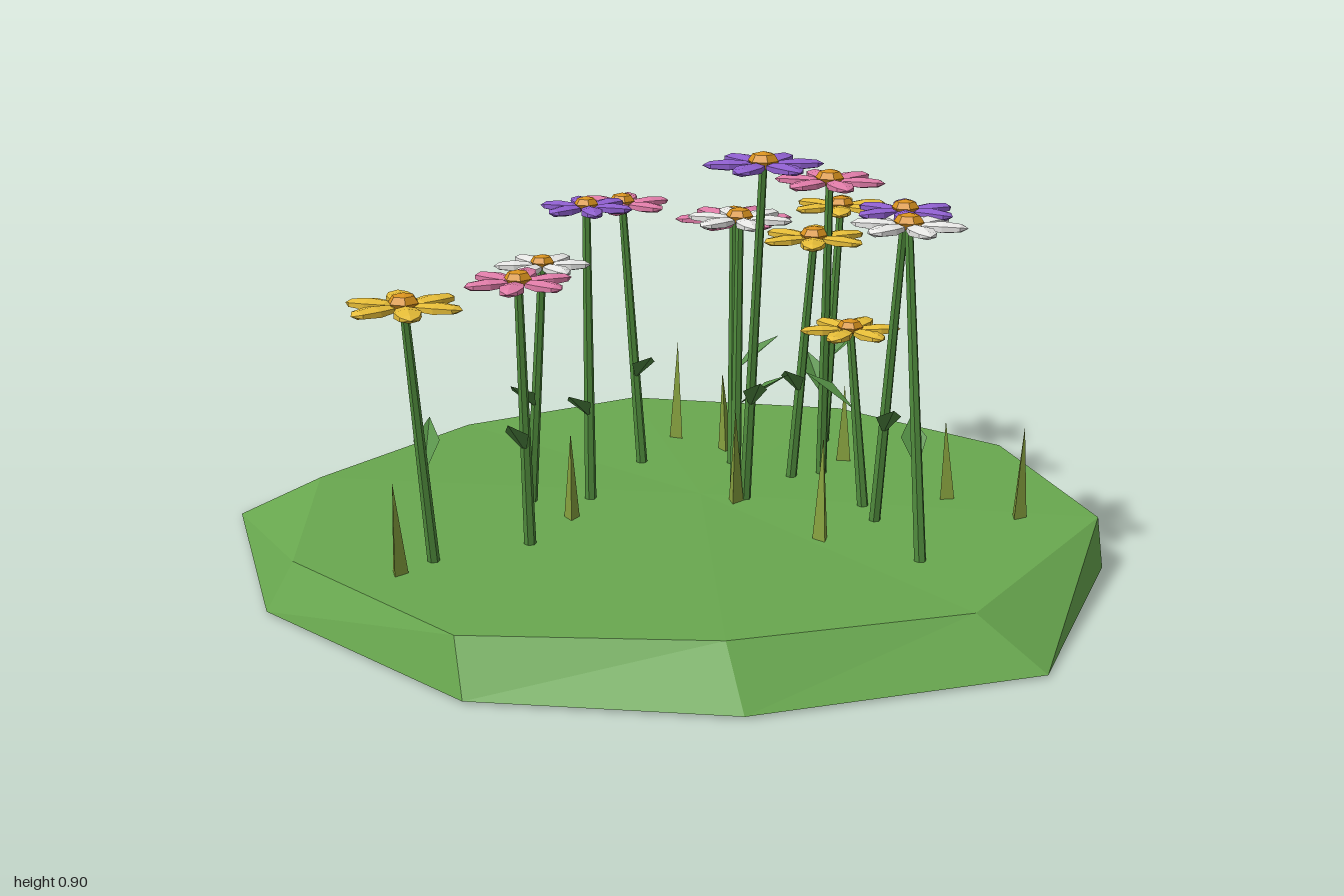
import * as THREE from 'three';
import { mergeGeometries } from 'three/addons/utils/BufferGeometryUtils.js';

const mat = (name, color, side = THREE.FrontSide) =>
  new THREE.MeshStandardMaterial({ name, color, side, flatShading: true });

const M = {
  ground: mat('meadow green', 0x69a84f),
  stem: mat('stem green', 0x4f8a3c),
  leaf: mat('leaf green', 0x548f45, THREE.DoubleSide),
  grass: mat('grass olive', 0x86a03e),
  centre: mat('centre orange', 0xd9921e),
  yellow: mat('petal yellow', 0xe6bd38),
  pink: mat('petal pink', 0xe07ca8),
  white: mat('petal white', 0xeeeeec),
  purple: mat('petal purple', 0x8f5fcf),
};

const TOP = 0.115;

// Ground outline corners: [bottom x, bottom z, top x, top z, top y]
const OUTLINE = [
  [0, -1, -0.02, -0.82, 0.1], [0.47, -0.83, 0.42, -0.69, 0.11],
  [0.94, -0.36, 0.72, -0.24, 0.115], [0.87, 0.27, 0.78, 0.23, 0.11],
  [0.51, 0.73, 0.5, 0.72, 0.12], [-0.04, 1, -0.09, 0.86, 0.105],
  [-0.59, 0.73, -0.55, 0.64, 0.115], [-0.92, 0.32, -0.89, 0.26, 0.11],
  [-0.94, -0.31, -0.89, -0.28, 0.11], [-0.65, -0.87, -0.54, -0.7, 0.11],
];

// Flowers: [petal colour, head x, y, z, head radius, base x, base z, leaf dx, leaf dz]
const FLOWERS = [
  ['yellow', -0.74, 0.66, -0.07, 0.125, -0.68, -0.08, 0.1, -0.11],
  ['pink', -0.5, 0.68, -0.01, 0.115, -0.475, -0.02, -0.07, 0.03],
  ['white', -0.28, 0.65, -0.2, 0.105, -0.3, -0.23, -0.11, 0.05],
  ['purple', -0.17, 0.765, -0.18, 0.105, -0.195, -0.15, -0.11, 0.06],
  ['pink', 0.05, 0.725, -0.31, 0.115, 0.07, -0.27, -0.05, 0.11],
  ['pink', 0.24, 0.69, -0.14, 0.135, 0.21, -0.11, 0.1, 0.05],
  ['white', 0.12, 0.725, 0, 0.12, 0.1, 0.01, 0.06, 0.1],
  ['yellow', 0.56, 0.68, -0.1, 0.12, 0.49, -0.08, 0.12, 0.01],
  ['purple', 0.04, 0.875, 0.15, 0.13, 0.05, 0.09, -0.05, 0.08],
  ['pink', 0.28, 0.805, 0.12, 0.125, 0.31, 0.08, 0.05, -0.1],
  ['yellow', 0.265, 0.675, 0.09, 0.125, 0.24, 0.05, -0.1, 0.05],
  ['yellow', 0.19, 0.51, 0.27, 0.11, 0.2, 0.31, -0.06, -0.1],
  ['white', 0.07, 0.795, 0.53, 0.12, 0.04, 0.61, 0.07, -0.08],
  ['purple', 0.14, 0.805, 0.46, 0.11, 0.15, 0.385, -0.06, 0.08],
];

// Grass blades: [x, z, height]
const BLADES = [
  [-0.78, -0.07, 0.2], [-0.31, -0.08, 0.2], [-0.01, 0.38, 0.23], [0.26, -0.35, 0.25],
  [0.42, 0.05, 0.19], [0.37, 0.4, 0.19], [0.38, 0.6, 0.22], [0.02, 0.09, 0.22], [0.27, -0.2, 0.2],
];

function bufferMesh(name, points, material) {
  const g = new THREE.BufferGeometry();
  g.setAttribute('position', new THREE.Float32BufferAttribute(points.flat(), 3));
  g.computeVertexNormals();
  const mesh = new THREE.Mesh(g, material);
  mesh.name = name;
  return mesh;
}

// Faceted slab with sloping rim
function makeGround() {
  const p = [];
  OUTLINE.forEach((a, i) => {
    const b = OUTLINE[(i + 1) % OUTLINE.length];
    const b0 = [a[0], 0.005, a[1]], b1 = [b[0], 0.005, b[1]];
    const t0 = [a[2], a[4], a[3]], t1 = [b[2], b[4], b[3]];
    p.push(b1, b0, t0, b1, t0, t1);
    p.push([0, TOP, 0], t1, t0, [0, 0, 0], b0, b1);
  });
  return bufferMesh('ground', p, M.ground);
}

// Six flattened, elongated petals around the centre
function petalGeometry(r, turn) {
  const petals = [];
  for (let i = 0; i < 6; i++) {
    const g = new THREE.SphereGeometry(1, 6, 4);
    g.rotateZ(Math.PI / 2);
    g.scale(r * 0.42, 0.012, r * 0.25);
    g.translate(r * 0.58, 0, 0);
    g.rotateY(turn + i * Math.PI / 3);
    petals.push(g);
  }
  return mergeGeometries(petals);
}

// Folded diamond leaf growing from a point on the stem
function makeLeaf(start, dx, dz) {
  const out = new THREE.Vector3(dx, 0.08, dz);
  const side = new THREE.Vector3(-dz, 0, dx).normalize().multiplyScalar(0.027);
  const mid = start.clone().addScaledVector(out, 0.5);
  const tip = start.clone().add(out).toArray();
  const l = mid.clone().add(side), r = mid.clone().sub(side);
  l.y += 0.012;
  r.y += 0.012;
  const s = start.toArray();
  return bufferMesh('leaf', [s, l.toArray(), tip, s, tip, r.toArray()], M.leaf);
}

function makeFlower([color, x, y, z, r, bx, bz, dx, dz], i) {
  const flower = new THREE.Group();
  flower.name = color + 'Flower';
  const base = new THREE.Vector3(bx, TOP - 0.02, bz);
  const head = new THREE.Vector3(x, y, z);
  const dir = head.clone().sub(base);

  const stem = new THREE.Mesh(new THREE.CylinderGeometry(0.009, 0.013, dir.length(), 6), M.stem);
  stem.name = 'stem';
  stem.position.copy(base).addScaledVector(dir, 0.5);
  stem.quaternion.setFromUnitVectors(new THREE.Vector3(0, 1, 0), dir.clone().normalize());

  const petals = new THREE.Mesh(petalGeometry(r, i * 0.7), M[color]);
  petals.name = 'petals';
  petals.position.copy(head);

  const centre = new THREE.Mesh(new THREE.SphereGeometry(r * 0.26, 6, 4), M.centre);
  centre.name = 'flowerCentre';
  centre.scale.y = 0.6;
  centre.position.set(x, y + 0.008, z);

  const leafStart = base.clone().addScaledVector(dir, (0.3 - base.y + (i % 3) * 0.015) / dir.y);
  flower.add(stem, petals, centre, makeLeaf(leafStart, dx, dz));
  return flower;
}

export function createModel() {
  const model = new THREE.Group();
  model.name = 'flowerMeadow';
  model.add(makeGround());
  FLOWERS.forEach((f, i) => model.add(makeFlower(f, i)));

  // Three-sided grass blades
  BLADES.forEach(([x, z, h], i) => {
    const blade = new THREE.Mesh(new THREE.ConeGeometry(0.02, h, 3), M.grass);
    blade.name = 'grassBlade';
    blade.position.set(x, TOP - 0.01 + h / 2, z);
    blade.rotation.set(0, Math.PI + i * 0.3, 0.04 * ((i % 3) - 1));
    model.add(blade);
  });
  return model;
}
